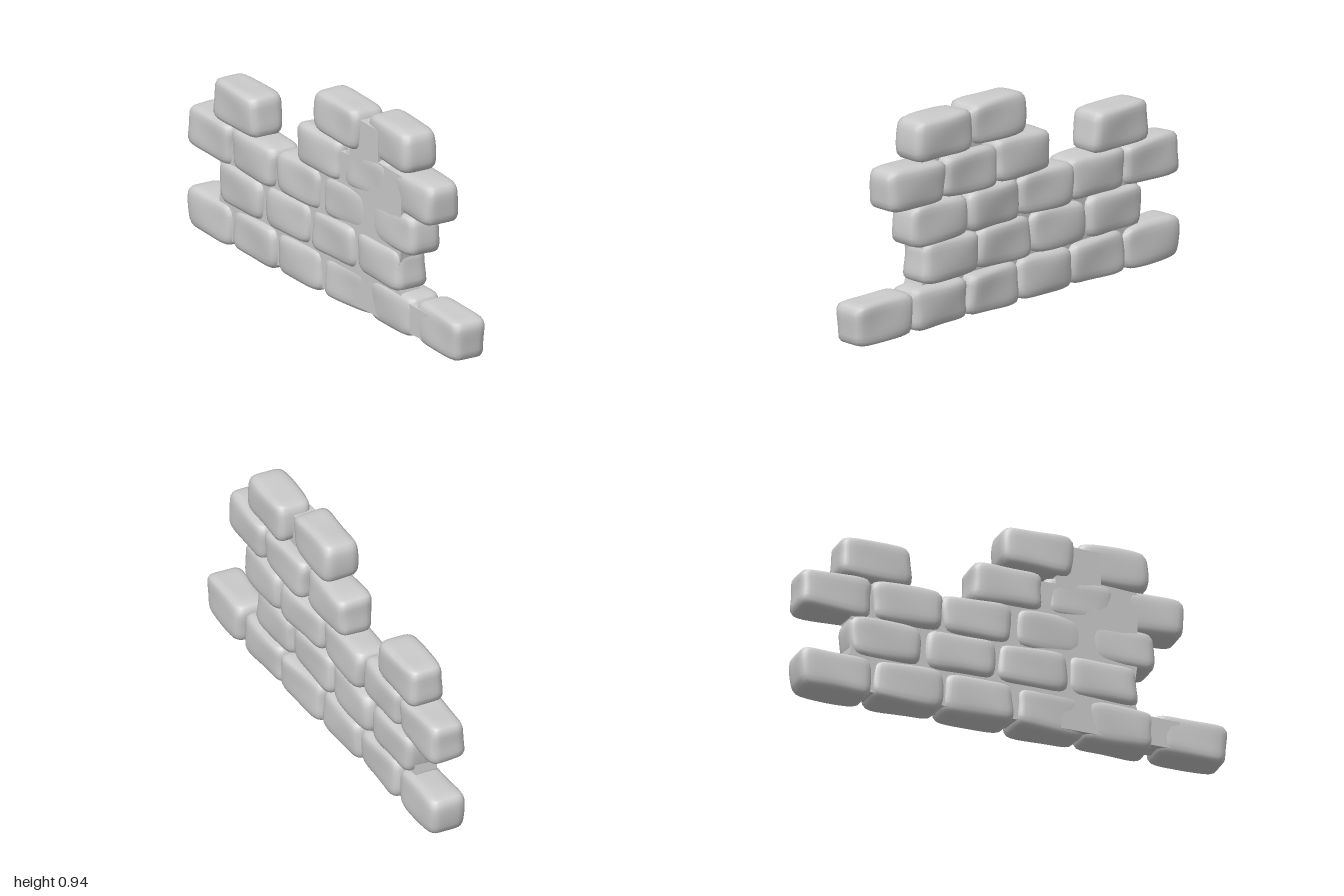
import * as THREE from 'three';
import { mergeVertices } from 'three/addons/utils/BufferGeometryUtils.js';

const material = new THREE.MeshStandardMaterial({ color: 0xcccccc });

// Rounded, slightly lumpy block: a cube pulled onto a superellipsoid, then warped
function stoneGeometry(w, h, d, seed) {
  let g = new THREE.BoxGeometry(2, 2, 2, 10, 8, 8);
  g.deleteAttribute('uv');
  g.deleteAttribute('normal');
  g = mergeVertices(g);
  const p = g.attributes.position;
  const n = 6.5;
  for (let i = 0; i < p.count; i++) {
    const v = new THREE.Vector3().fromBufferAttribute(p, i);
    const r = (Math.abs(v.x) ** n + Math.abs(v.y) ** n + Math.abs(v.z) ** n) ** (1 / n);
    v.divideScalar(r);
    const { x, y, z } = v;
    const lump = Math.sin(2.3 * x + seed * 1.7) * Math.cos(1.9 * z + seed);
    p.setXYZ(
      i,
      (x * (1 + 0.025 * Math.sin(2.5 * y + seed)) - 0.02 * y * Math.sin(seed * 2.1)) * w / 2,
      (y * (1 + 0.035 * lump) - 0.04 * x * Math.sin(seed * 1.3)) * h / 2,
      z * (1 + 0.05 * Math.sin(2 * x + 1.6 * y + seed * 2.7)) * d / 2
    );
  }
  g.computeVertexNormals();
  return g;
}

// Courses from the ground up; each stone is [x, z offset, turn about y]
const courses = [
  { y: 0.103, stones: [[-0.835, 0.002, -0.03], [-0.5, 0.004, -0.04], [-0.17, 0.0, -0.02], [0.165, -0.012, 0.06], [0.49, -0.012, -0.02], [0.833, -0.012, -0.07]] },
  { y: 0.292, stones: [[-0.605, 0.003, -0.03], [-0.255, 0.003, -0.03], [0.08, 0.002, -0.02], [0.41, -0.002, -0.04]] },
  { y: 0.474, stones: [[-0.835, 0.003, -0.03], [-0.505, 0.01, -0.06], [-0.18, 0.0, -0.03], [0.16, -0.012, 0.06], [0.495, -0.015, -0.05]] },
  { y: 0.655, stones: [[-0.648, 0.004, -0.03], [-0.035, 0.0, -0.03], [0.305, -0.015, 0.0], [0.632, -0.015, -0.07]] },
  { y: 0.845, stones: [[0.105, 0.01, -0.04], [0.465, -0.015, -0.07]] },
];

// Stepped outline of the mortar core
const mortarOutline = [
  [-0.76, 0.035], [0.77, 0.035], [0.77, 0.165], [0.575, 0.17], [0.55, 0.25], [0.572, 0.4],
  [0.57, 0.735], [0.4, 0.745], [0.4, 0.89], [0.2, 0.9], [0.19, 0.71], [-0.1, 0.7],
  [-0.11, 0.56], [-0.22, 0.555], [-0.34, 0.535], [-0.72, 0.54], [-0.77, 0.42], [-0.755, 0.3], [-0.77, 0.2],
];

export function createModel() {
  const wall = new THREE.Group();
  wall.name = 'ruinedStoneWall';

  // Stones
  let seed = 1;
  courses.forEach(({ y, stones }, row) => {
    const course = new THREE.Group();
    course.name = `stoneCourse${row + 1}`;
    stones.forEach(([x, z, turn], i) => {
      const stone = new THREE.Mesh(stoneGeometry(0.328, 0.188, 0.168, seed++), material);
      stone.name = `stone${row + 1}_${i + 1}`;
      stone.position.set(x, y, z);
      stone.rotation.y = turn;
      course.add(stone);
    });
    wall.add(course);
  });

  // Mortar filling the joints, nearly flush with the front
  const shape = new THREE.Shape(mortarOutline.map(([x, y]) => new THREE.Vector2(x, y)));
  const mortar = new THREE.Mesh(
    new THREE.ExtrudeGeometry(shape, { depth: 0.105, bevelEnabled: false }),
    material
  );
  mortar.name = 'mortar';
  mortar.position.z = -0.04;
  wall.add(mortar);

  return wall;
}
